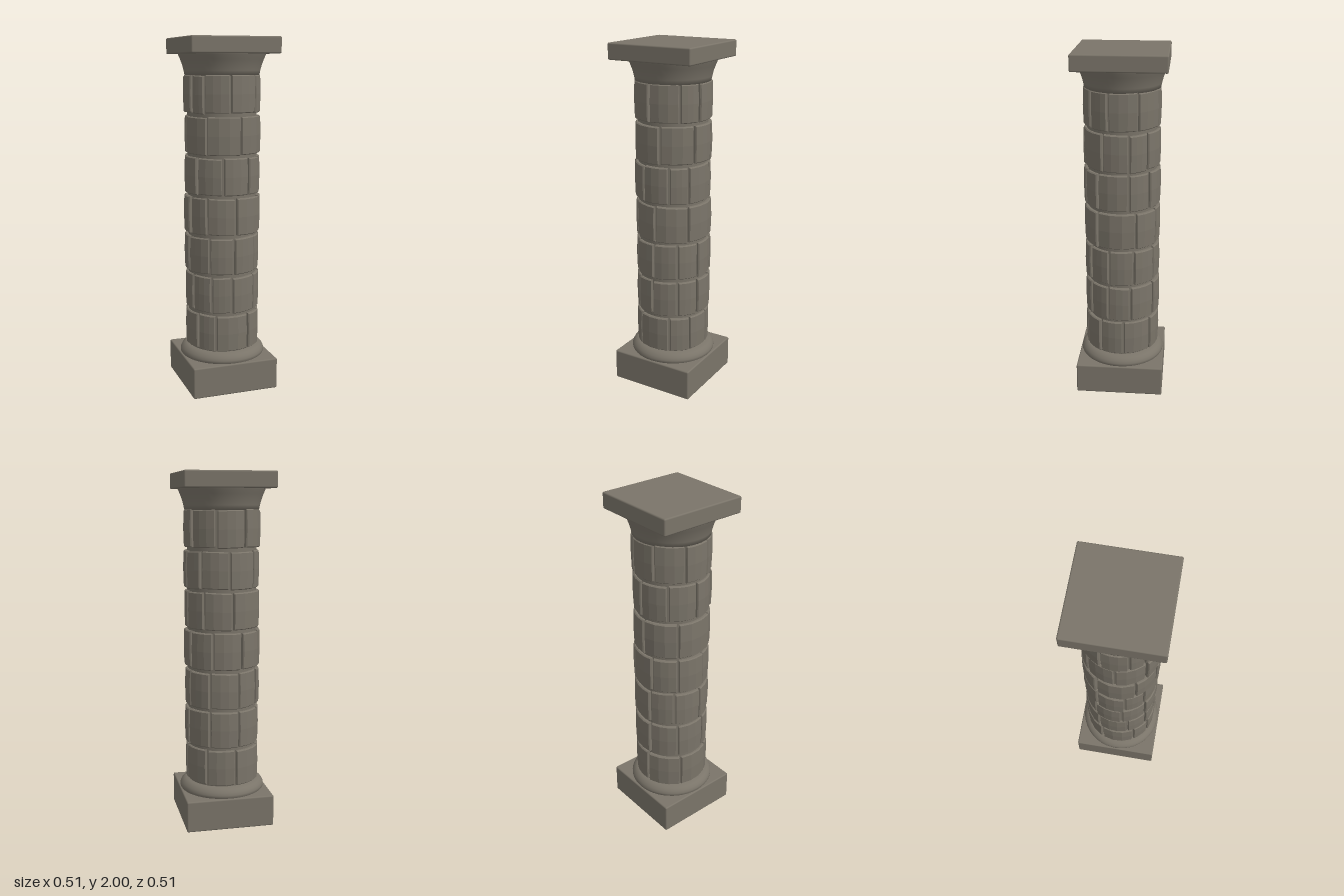
import * as THREE from 'three';
import { RoundedBoxGeometry } from 'three/addons/geometries/RoundedBoxGeometry.js';

let seed = 7;
function rand(a, b) {
  seed = (seed * 16807) % 2147483647;
  return a + (b - a) * (seed / 2147483647);
}

// Joint angles in degrees of each stone course, bottom to top (0 = front, 90 = +x side)
const COURSES = [
  [-59, -28, 25, 58, 96, 144, 190, 245],
  [-70, -35, -3, 38, 72, 107, 150, 195, 240],
  [-80, -38, 0, 38, 73, 112, 150, 195, 235],
  [-75, -42, 3, 54, 115, 155, 200, 240],
  [-59, -17, 25, 55, 104, 140, 185, 240],
  [-90, -42, 11, 64, 104, 135, 180, 225],
  [-70, -46, -6, 41, 73, 118, 160, 205, 250],
];

// Curved stone: a box bent around the shaft, bulging slightly, with chamfered outer edges
function stoneGeometry(a0, a1, y0, y1) {
  const nx = 5, ny = 4;
  const geo = new THREE.BoxGeometry(1, 1, 1, nx, ny, 1);
  const p = geo.attributes.position;
  const outer = rand(0.209, 0.217);
  const tiltY = rand(-0.004, 0.004), tiltR = rand(-0.003, 0.003);
  const edge = 0.005;
  // rows and columns: a thin chamfer strip at each end, even steps between
  const place = (i, n, lo, hi, e) =>
    i === 0 ? lo : i === n ? hi : lo + e + ((hi - lo - 2 * e) * (i - 1)) / (n - 2);
  for (let k = 0; k < p.count; k++) {
    const i = Math.round((p.getX(k) + 0.5) * nx), j = Math.round((p.getY(k) + 0.5) * ny);
    const s = p.getX(k) * 2;
    const a = place(i, nx, a0, a1, edge / 0.21);
    const y = place(j, ny, y0, y1, edge) + tiltY * s;
    let r = 0.175;
    if (p.getZ(k) > 0) {
      const rim = i === 0 || i === nx || j === 0 || j === ny;
      r = outer + tiltR * s + (j === 2 ? 0.003 : 0) - (rim ? 0.006 : 0);
    }
    p.setXYZ(k, r * Math.sin(a), y, r * Math.cos(a));
  }
  geo.computeVertexNormals();
  return geo;
}

export function createModel() {
  const group = new THREE.Group();
  const stone = new THREE.MeshStandardMaterial({ color: 0x7a7469 });
  stone.name = 'warm grey stone';
  const cutStone = stone.clone();
  cutStone.name = 'faceted grey stone';
  cutStone.flatShading = true;

  const add = (name, geo, mat = stone, y = 0, parent = group) => {
    const mesh = new THREE.Mesh(geo, mat);
    mesh.name = name;
    mesh.position.y = y;
    parent.add(mesh);
    return mesh;
  };
  const lathe = (pts) =>
    new THREE.LatheGeometry(pts.map(([r, y]) => new THREE.Vector2(r, y)), 48);

  // Square slabs at foot and top
  add('plinth', new RoundedBoxGeometry(0.505, 0.18, 0.505, 2, 0.008), stone, 0.09);
  add('abacus', new RoundedBoxGeometry(0.507, 0.09, 0.507, 2, 0.008), stone, 1.955);

  // Rounded foot moulding
  add('baseMoulding', lathe([
    [0.236, 0.17], [0.246, 0.185], [0.246, 0.198], [0.239, 0.213],
    [0.226, 0.226], [0.21, 0.235], [0.17, 0.24],
  ]));

  // Flared capital
  add('capital', lathe([
    [0.17, 1.792], [0.209, 1.795], [0.214, 1.82], [0.222, 1.85],
    [0.233, 1.88], [0.244, 1.905], [0.246, 1.915],
  ]));

  // Mortar core seen in the joints
  add('mortarCore', new THREE.CylinderGeometry(0.196, 0.196, 1.58, 40, 1, true), stone, 1.015);

  // Seven courses of stones
  const shaft = new THREE.Group();
  shaft.name = 'shaft';
  group.add(shaft);
  const pitch = 0.2245, gap = 0.012 / 0.21;
  COURSES.forEach((joints, row) => {
    const course = new THREE.Group();
    course.name = 'course' + (row + 1);
    shaft.add(course);
    const y = 0.243 + row * pitch;
    joints.forEach((deg, i) => {
      const next = i + 1 < joints.length ? joints[i + 1] : joints[0] + 360;
      const a0 = THREE.MathUtils.degToRad(deg) + gap / 2;
      const a1 = THREE.MathUtils.degToRad(next) - gap / 2;
      const geo = stoneGeometry(a0, a1, y + rand(-0.002, 0.003), y + 0.206 + rand(-0.003, 0.002));
      add('stone', geo, cutStone, 0, course);
    });
  });

  return group;
}
